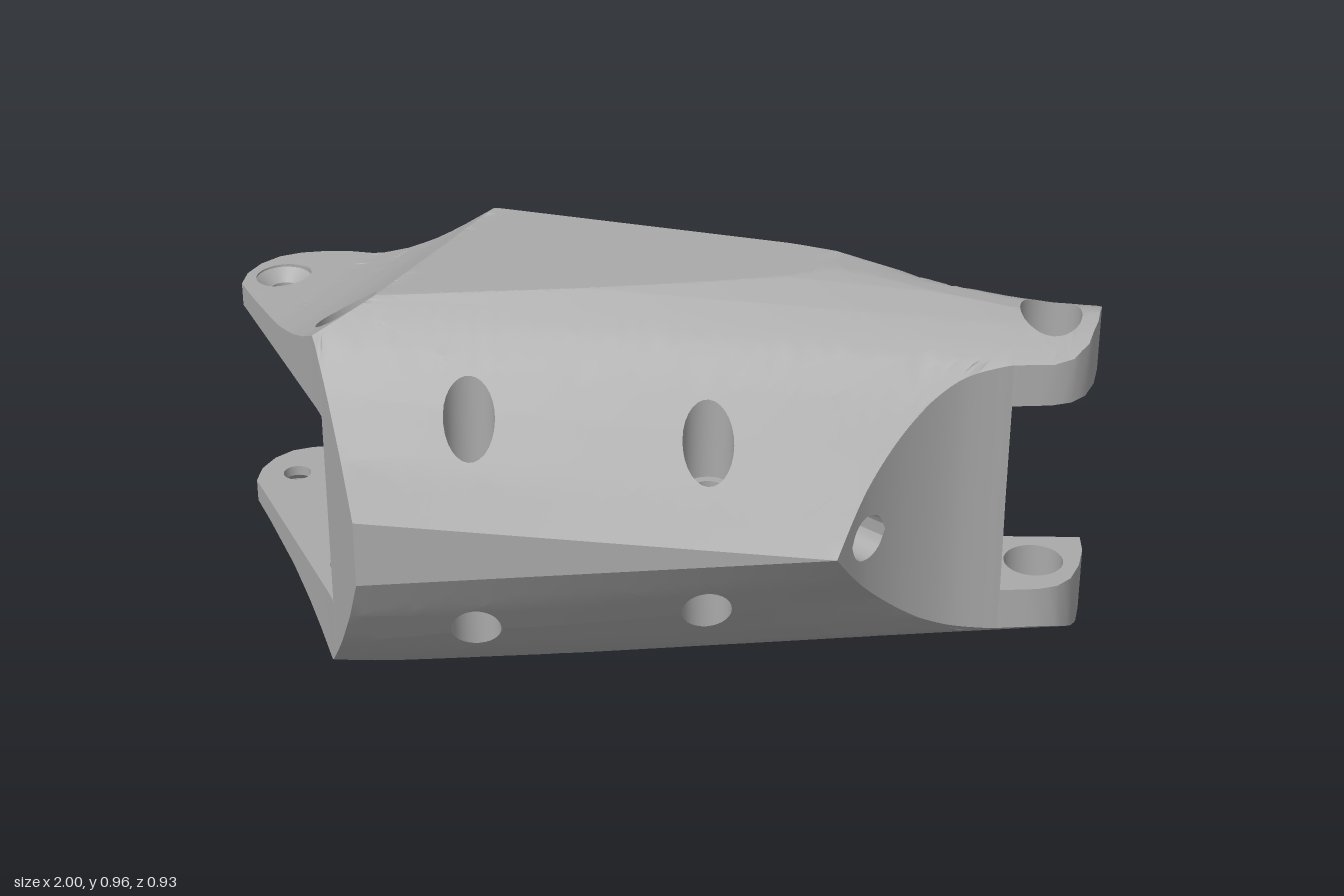
import * as THREE from 'three';
import { toCreasedNormals } from 'three/addons/utils/BufferGeometryUtils.js';

const MID = 0.48, CEIL = 0.72;
const clamp = THREE.MathUtils.clamp, lerp = THREE.MathUtils.lerp;

// piecewise linear lookup through [position, value] knots
function knots(k, t) {
  if (t <= k[0][0]) return k[0][1];
  for (let i = 1; i < k.length; i++) {
    if (t <= k[i][0]) return lerp(k[i - 1][1], k[i][1], (t - k[i - 1][0]) / (k[i][0] - k[i - 1][0]));
  }
  return k[k.length - 1][1];
}

// height rules of the upper half, as functions of plan position
const LEFT = [[-0.1, 1.14], [0.03, 1.05], [0.1, 1.0], [0.15, 0.96], [0.2, 0.923], [0.25, 0.88], [0.32, 0.795], [0.4, 0.678], [0.465, 0.56]];
const RIGHT = [[0.03, 0.89], [0.1, 0.865], [0.15, 0.835], [0.19, 0.805], [0.25, 0.72], [0.32, 0.615], [0.4, 0.51], [0.465, 0.435]];
const SCOOP = [[-1.05, 0.775], [-0.95, 0.78], [-0.8, 0.8], [-0.71, 0.83], [-0.64, 0.865], [-0.585, 0.9], [-0.5, 0.96], [-0.3, 1.4]];
const CROWN = [[0.4, 0.96], [0.5, 0.945], [0.8, 0.9], [1, 0.885]];
const backZ = x => Math.min(-0.06, -0.335 + 0.265 * (x + 0.4));
const front = (x, z) => lerp(knots(LEFT, z), knots(RIGHT, z), (x + 0.66) / 1.66);
const crown = x => knots(CROWN, x);
const scoop = (x, z) => knots(SCOOP, 0.9 * x + 0.43 * z);
function topY(x, z) {
  const r = 0.09 * clamp((x - 0.3) / 0.6, 0, 1), d = clamp(r - (z - backZ(x)), 0, r);
  const drop = r - Math.sqrt(r * r - d * d);
  return Math.min(front(x, z), crown(x), scoop(x, z)) - drop;
}
// ceiling of the hollow, filleted beside the rear window
function ceilY(x, z) {
  if (x > -0.57) return CEIL;
  const t = clamp((x + 0.67) / 0.09, 0, 1);
  return CEIL - 0.07 * (1 - Math.sqrt(1 - t * t)) * clamp((-0.28 - z) / 0.06, 0, 1);
}
const creases = [
  (x, z) => front(x, z) - crown(x),
  (x, z) => scoop(x, z) - Math.min(front(x, z), crown(x)),
];

function toGeometry(tris, angle = 0.5) {
  const out = [], a = new THREE.Vector3(), b = new THREE.Vector3(), c = new THREE.Vector3();
  for (const t of tris) {
    a.fromArray(t[0]); b.fromArray(t[1]).sub(a); c.fromArray(t[2]).sub(a);
    if (b.cross(c).length() > 1e-9) out.push(...t[0], ...t[1], ...t[2]);
  }
  const g = new THREE.BufferGeometry();
  g.setAttribute('position', new THREE.Float32BufferAttribute(out, 3));
  g.scale(100, 100, 100);
  return toCreasedNormals(g, angle).scale(0.01, 0.01, 0.01);
}

// fill a plan outline with holes, refine it, and lift it to a height rule
function sheet(outline, holes, height, up, lines = []) {
  const v = p => new THREE.Vector2(p[0], p[1]);
  const all = [outline, ...holes].flat(), tris = [];
  const cut = (p, q) => {
    const len = Math.hypot(p[0] - q[0], p[1] - q[1]);
    if (len > 0.04) return [len, 0.5];
    for (const f of lines) {
      const a = f(p[0], p[1]), b = f(q[0], q[1]);
      if (len > 0.003 && a * b < 0 && Math.min(Math.abs(a), Math.abs(b)) > 0.002) return [len, a / (a - b)];
    }
    return [0, 0];
  };
  const refine = (t, depth) => {
    let best = [0, 0], at = 0;
    for (let i = 0; i < 3; i++) {
      const c = cut(t[i], t[(i + 1) % 3]);
      if (c[0] > best[0]) { best = c; at = i; }
    }
    if (best[0] === 0 || depth > 24) {
      tris.push(t.map(p => [p[0], height(p[0], p[1]), p[1]]));
      return;
    }
    const a = t[at], b = t[(at + 1) % 3], c = t[(at + 2) % 3];
    const m = [lerp(a[0], b[0], best[1]), lerp(a[1], b[1], best[1])];
    refine([a, m, c], depth + 1);
    refine([m, b, c], depth + 1);
  };
  for (const f of THREE.ShapeUtils.triangulateShape(outline.map(v), holes.map(h => h.map(v)))) {
    let [a, b, c] = f.map(i => all[i]);
    const cross = (b[0] - a[0]) * (c[1] - a[1]) - (b[1] - a[1]) * (c[0] - a[0]);
    if ((cross < 0) !== up) [b, c] = [c, b];
    refine([a, b, c], 0);
  }
  return toGeometry(tris, 0.45);
}

// quads between two rows of 3D points
function strip(low, high, closed = false) {
  const tris = [], n = low.length;
  for (let i = 0; i < (closed ? n : n - 1); i++) {
    const j = (i + 1) % n;
    tris.push([low[i], low[j], high[j]], [low[i], high[j], high[i]]);
  }
  return tris;
}
const circle = (x, z, r, n = 28) => Array.from({ length: n }, (_, i) => {
  const a = i / n * Math.PI * 2;
  return [x + r * Math.cos(a), z + r * Math.sin(a)];
});
const at = (pts, y) => pts.map(p => [p[0], typeof y === 'function' ? y(p[0], p[1]) : y, p[1]]);

// split a straight run into short steps so walls follow the height rules
function dense(pts) {
  const out = [];
  pts.forEach((p, i) => {
    out.push(p);
    const q = pts[(i + 1) % pts.length], n = Math.ceil(Math.hypot(q[0] - p[0], q[1] - p[1]) / 0.04);
    for (let k = 1; k < n; k++) out.push([0, 1, 2].map(c => lerp(p[c], q[c], k / n)));
  });
  return out;
}

export function createModel() {
  const grey = new THREE.MeshStandardMaterial({ color: 0xaaaaaa, side: THREE.DoubleSide });
  grey.name = 'grey';
  const half = new THREE.Group();
  const add = (name, geo) => {
    const m = new THREE.Mesh(geo, grey);
    m.name = name;
    half.add(m);
  };

  // concave front cut, with a screw hole on the mid plane
  const curve = new THREE.SplineCurve([[0.4, 0.465], [0.47, 0.365], [0.56, 0.28], [0.67, 0.215], [0.79, 0.187]].map(p => new THREE.Vector2(...p)));
  const cutPts = curve.getPoints(70).map(p => {
    const d = Math.hypot(p.x - 0.47, p.y - 0.365);
    return [p.x, p.y, MID + Math.sqrt(Math.max(0, 0.055 ** 2 - d * d))];
  });

  // plan outline: x, z and the lower edge of the wall there
  const C = CEIL, b = x => backZ(x);
  const outline = dense([
    [-0.66, 0.465, MID], ...cutPts, [0.791, 0.187, C],
    [0.88, 0.18, C], [0.925, 0.165, C], [0.96, 0.13, C], [0.985, 0.07, C], [1, 0, C], [1, -0.06, C],
    [0.79, -0.06, C], [0.789, -0.06, 0.55], [0.6386, -0.06, 0.55], [0.56, b(0.56), 0.55], [0.559, b(0.559), MID],
    [-0.58, b(-0.58), MID], [-0.581, b(-0.581), 0.65], [-0.59, b(-0.59), C], [-0.61, b(-0.61), C], [-0.64, b(-0.64), C], [-0.67, b(-0.67), C],
    [-0.76, -0.45, C], [-0.83, -0.468, C], [-0.88, -0.464, C], [-0.93, -0.445, C], [-0.97, -0.405, C], [-0.995, -0.35, C], [-1, -0.29, C],
    [-0.76, 0.23, C], [-0.743, 0.27, C], [-0.7425, 0.271, MID],
  ]);
  const lowY = p => (p[2] === C ? ceilY(p[0], p[1]) : p[2]);

  // holes: x, z, outer radius, inner radius, ledge heights, lowest point
  const holes = [
    [-0.41, 0.33, 0.057, 0.037, 0.58, 0.58, MID],
    [0.115, 0.33, 0.057, 0.037, 0.58, 0.58, MID],
    [-0.7, 0.1, 0.07, 0.07, 0.75, 0.75, C],
    [-0.905, -0.33, 0.066, 0.034, 0.772, 0.745, C],
    [0.88, 0.05, 0.07, 0.07, 0.75, 0.75, C],
  ];

  add('outerShell', sheet(outline, holes.map(h => circle(h[0], h[1], h[2])), topY, true, creases));
  const loop = outline.map(p => [p[0], lowY(p), p[1]]);
  add('outerWalls', toGeometry(strip(loop, at(outline, topY), true)));

  for (const [x, z, r, r2, y1, y2, y3] of holes) {
    const big = circle(x, z, r), small = circle(x, z, r2);
    const tris = [...strip(at(big, y1), at(big, topY), true), ...strip(at(small, y3), at(small, y2), true)];
    if (r2 < r) tris.push(...strip(at(small, y2), at(big, y1), true));
    add('screwHole', toGeometry(tris));
  }

  // hollow through the body, open at both ends
  const frontWall = [[0.79, 0.187], [0.79, 0.14], [0.5, 0.19], [-0.1, 0.25], [-0.743, 0.27]];
  const backWall = [[-0.58, b(-0.58)], [-0.58, -0.33], [0.56, -0.05], [0.79, 0], [0.79, -0.06]];
  const first = outline.findIndex(p => p[0] === 0.791), last = outline.findIndex(p => p[0] === 0.79 && p[1] === -0.06);
  const left0 = outline.findIndex(p => p[0] === -0.581), left1 = outline.findIndex(p => p[0] === -0.743);
  const cavity = [
    ...outline.slice(first, last), ...[...backWall].reverse(),
    ...outline.slice(left0, left1), ...[...frontWall].reverse(),
  ];
  add('cavityCeiling', sheet(cavity, holes.slice(2).map(h => circle(h[0], h[1], h[3])), ceilY, false));
  const wall = (pts, y) => strip(at(pts, y), at(pts, ceilY));
  add('cavityWalls', toGeometry([...wall(frontWall, MID), ...wall(backWall.slice(0, 3), MID), ...wall(backWall.slice(2), 0.55)], 0.2));

  // notch in the rear wall
  const inner = [[0.56, -0.05], [0.79, 0]], outer = [[0.56, b(0.56)], [0.79, -0.06]];
  const end = [outer[0], inner[0]];
  add('rearNotch', toGeometry([...strip(at(outer, 0.55), at(inner, 0.55)), ...strip(at(end, MID), at(end, 0.55))], 0.2));

  // screw hole sunk into the concave front cut
  const rim = cutPts.filter(p => p[2] > MID).map(p => [p[0], p[2], p[1]]);
  const deep = rim.map(p => [p[0] - 0.07, p[1], p[2] - 0.06]);
  add('frontScrewHole', toGeometry([...strip(rim, deep), ...strip(deep.map(p => [p[0], MID, p[2]]), deep)]));

  // lower half mirrors the upper one
  half.name = 'upperHalf';
  const lower = half.clone();
  lower.name = 'lowerHalf';
  lower.scale.y = -1;
  lower.position.y = 2 * MID;
  const group = new THREE.Group();
  group.name = 'armLink';
  group.add(half, lower);
  return group;
}
